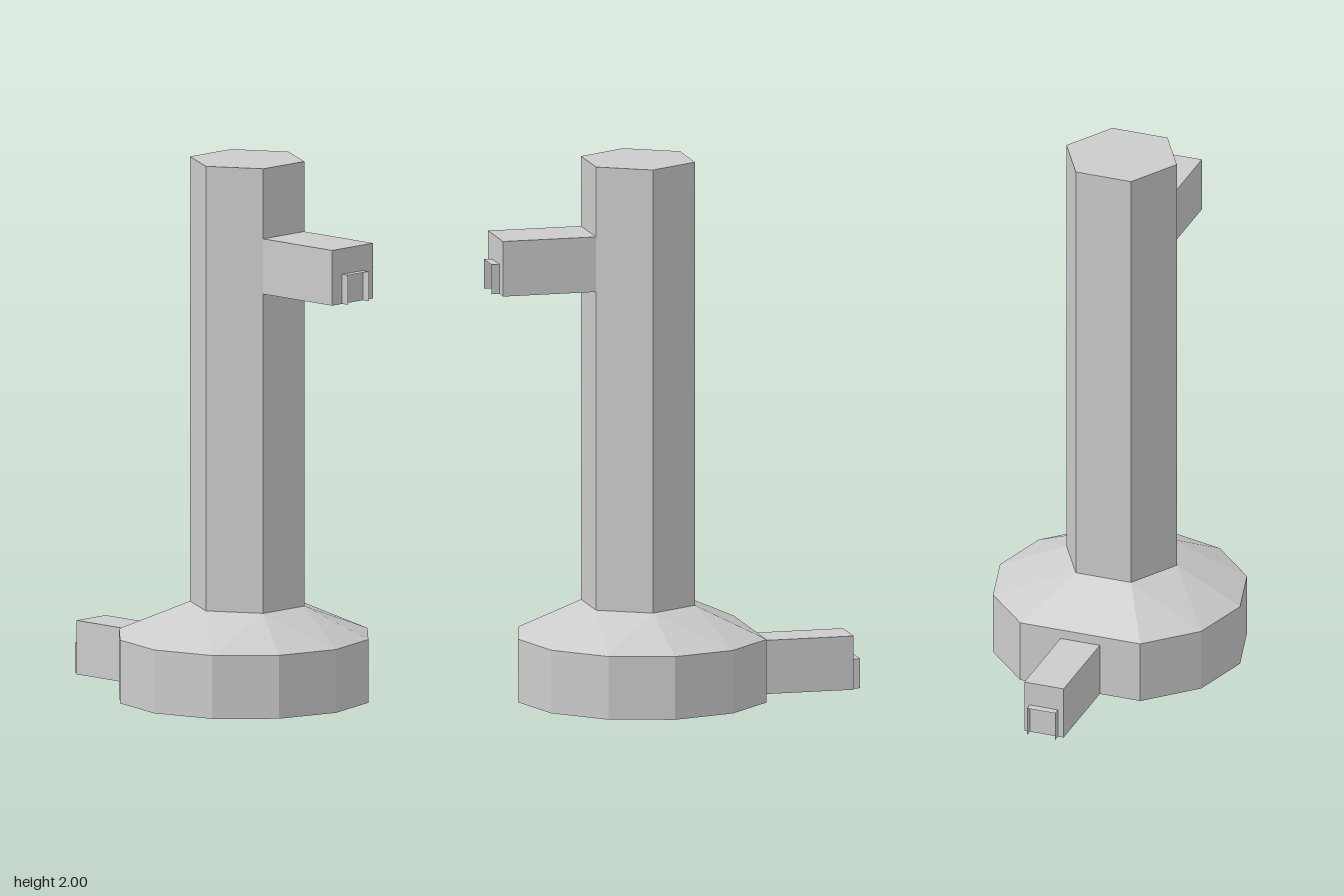
import * as THREE from 'three';

const grey = new THREE.MeshStandardMaterial({ color: 0xcccccc, flatShading: true });
const thin = new THREE.MeshStandardMaterial({ color: 0xcccccc, flatShading: true, side: THREE.DoubleSide });

function addMesh(parent, name, geometry, material, x, y, z) {
  const mesh = new THREE.Mesh(geometry, material);
  mesh.name = name;
  mesh.position.set(x, y, z);
  parent.add(mesh);
  return mesh;
}

// Twelve-sided foot with one corner cut flat, and a skirt rising to the hexagonal column
function footGeometry(cx, radius, rimY, columnX, columnR, topY) {
  const rim = (i, y) => {
    const a = (i * Math.PI) / 6;
    const k = i % 12 === 6 ? Math.cos(Math.PI / 6) : 1; // flat side where the lower arm joins
    return [cx + Math.cos(a) * radius * k, y, Math.sin(a) * radius * k];
  };
  const hex = (j) => {
    const a = ((j + 0.5) * Math.PI) / 3;
    return [columnX + Math.cos(a) * columnR, topY, Math.sin(a) * columnR];
  };
  const p = [];
  const tri = (a, b, c) => p.push(...a, ...b, ...c);

  // wall and underside
  for (let i = 0; i < 12; i++) {
    tri(rim(i, 0), rim(i, rimY), rim(i + 1, rimY));
    tri(rim(i, 0), rim(i + 1, rimY), rim(i + 1, 0));
    tri([cx, 0, 0], rim(i, 0), rim(i + 1, 0));
  }
  // skirt facets
  for (let j = 0; j < 6; j++) {
    const i = 2 * j;
    tri(hex(j), rim(i + 1, rimY), rim(i, rimY));
    tri(hex(j), rim(i + 2, rimY), rim(i + 1, rimY));
    tri(rim(i, rimY), hex(j - 1), hex(j));
  }
  const g = new THREE.BufferGeometry();
  g.setAttribute('position', new THREE.Float32BufferAttribute(p, 3));
  g.computeVertexNormals();
  return g;
}

// Square arm along +x from the origin, ending in a thin open hood flush with its underside
function createArm(name, length, height, width) {
  const arm = new THREE.Group();
  arm.name = name;
  addMesh(arm, 'armBeam', new THREE.BoxGeometry(length, height, width), grey, length / 2, height / 2, 0);

  const depth = 0.03, size = 0.11;
  const x = length + depth / 2;
  const top = addMesh(arm, 'hoodTop', new THREE.PlaneGeometry(depth, size), thin, x, size, 0);
  top.rotation.x = -Math.PI / 2;
  for (const s of [-1, 1]) {
    const side = addMesh(arm, 'hoodSide', new THREE.PlaneGeometry(depth, size), thin, x, size / 2, (s * size) / 2);
    if (s < 0) side.rotation.y = Math.PI;
  }
  return arm;
}

export function createModel() {
  const model = new THREE.Group();
  model.name = 'post';

  const columnX = 0.125, columnR = 0.216, footTop = 0.35;
  addMesh(model, 'foot', footGeometry(0.108, 0.47, 0.235, columnX, columnR, footTop), grey, 0, 0, 0);

  const columnH = 2 - footTop;
  addMesh(model, 'column', new THREE.CylinderGeometry(columnR, columnR, columnH, 6), grey,
    columnX, footTop + columnH / 2, 0);

  const upperArm = createArm('upperArm', 0.351, 0.205, 0.216);
  upperArm.position.set(0.312, 1.535, 0);

  const lowerArm = createArm('lowerArm', 0.372, 0.2, 0.154);
  lowerArm.position.set(-0.298, 0, 0);
  lowerArm.rotation.y = Math.PI;

  model.add(upperArm, lowerArm);
  return model;
}
